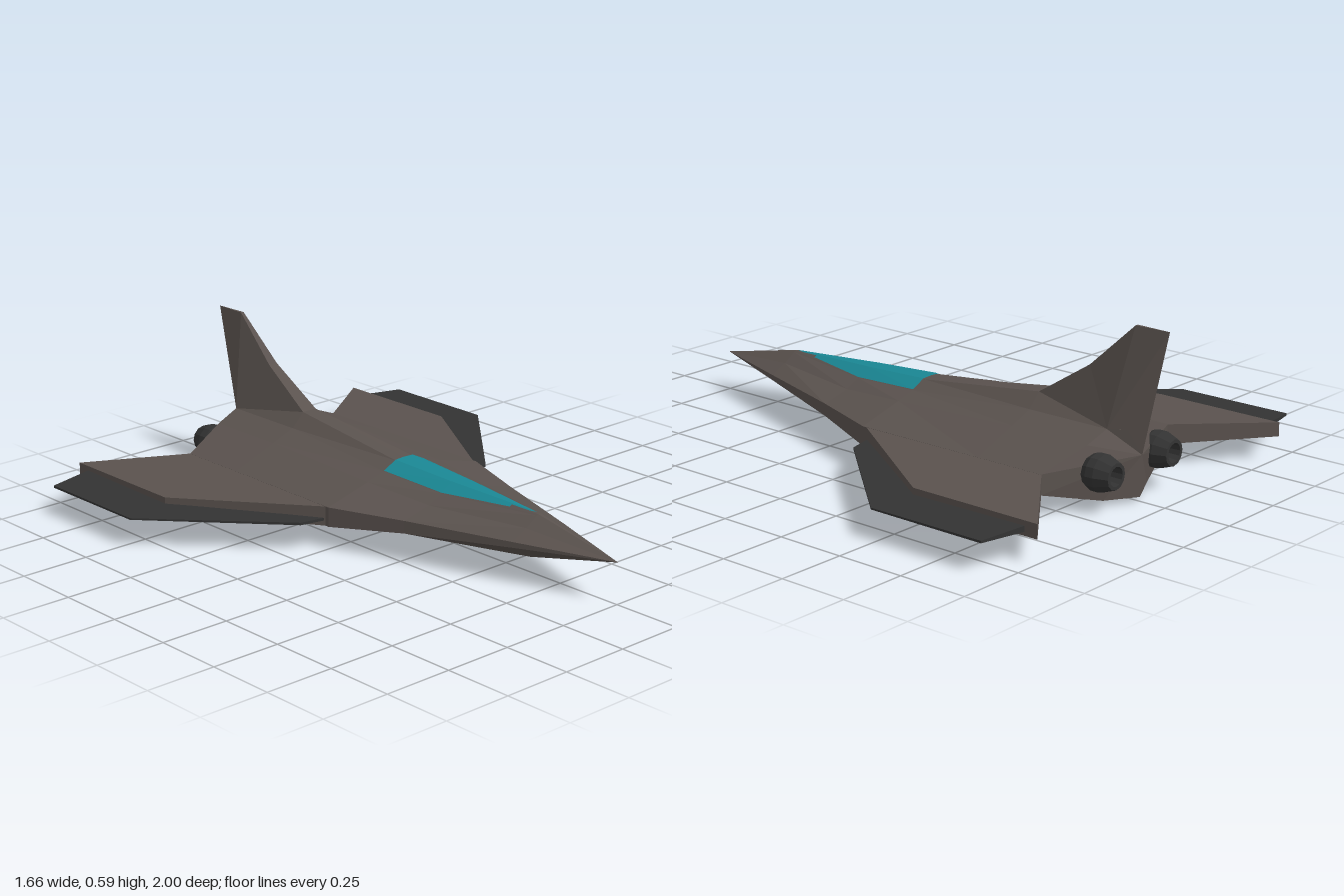
import * as THREE from 'three';

const paint = (color, extra = {}) => new THREE.MeshStandardMaterial({ color, flatShading: true, ...extra });
const hullMat = paint(0x5a524e);
const darkMat = paint(0x333333);
const glassMat = paint(0x1a8794);
const engineMat = paint(0x333333, { side: THREE.DoubleSide });

// Builds a faceted mesh from triangles on the +x half and their mirror images
function mirroredMesh(name, tris, material) {
  const pos = [];
  const flip = ([x, y, z]) => [-x, y, z];
  for (const [a, b, c] of tris) {
    const t = new THREE.Triangle(...[a, b, c].map(p => new THREE.Vector3(...p)));
    if (t.getArea() < 1e-8) continue;
    pos.push(...a, ...b, ...c, ...flip(a), ...flip(c), ...flip(b));
  }
  const g = new THREE.BufferGeometry();
  g.setAttribute('position', new THREE.Float32BufferAttribute(pos, 3));
  g.computeVertexNormals();
  const mesh = new THREE.Mesh(g, material);
  mesh.name = name;
  return mesh;
}

// Triangles joining neighbouring cross-sections
function loft(sections, closed = false) {
  const tris = [];
  const n = sections[0].length;
  for (let i = 0; i + 1 < sections.length; i++) {
    for (let j = 0; j < (closed ? n : n - 1); j++) {
      const k = (j + 1) % n;
      const a = sections[i][j], b = sections[i][k], c = sections[i + 1][k], d = sections[i + 1][j];
      tris.push([a, b, c], [a, c, d]);
    }
  }
  return tris;
}
const fan = (centre, ring) => ring.slice(1).map((p, i) => [centre, ring[i], p]);

// Cross-section of a panel at x: rear and front z, y limits at each
const panelRing = ([x, zr, zf, rearTop, frontTop, frontLow, rearLow]) =>
  [[x, rearTop, zr], [x, frontTop, zf], [x, frontLow, zf], [x, rearLow, zr]];

function panel(name, stations, material) {
  const rings = stations.map(panelRing);
  const tip = rings[rings.length - 1];
  return mirroredMesh(name, [...loft(rings, true), ...fan(tip[0], tip.slice(1))], material);
}

export function createModel() {
  const model = new THREE.Group();

  // Hull half sections, top centre to keel: [z, [x, y]...]
  const at = (z, pts) => pts.map(([x, y]) => [x, y, z]);
  const nose = Array(8).fill([0, 0.145, 1]);
  const rear = [
    [0, 0.25, -0.925], [0.04, 0.25, -0.873], [0.08, 0.25, -0.82], [0.17, 0.215, -0.81],
    [0.345, 0.15, -0.76], [0.345, 0.08, -0.76], [0.12, 0.02, -0.84], [0, 0.015, -0.9],
  ];
  const sections = [
    nose,
    at(0.65, [[0, 0.217], [0.006, 0.216], [0.012, 0.212], [0.06, 0.18], [0.122, 0.148], [0.122, 0.128], [0.04, 0.075], [0, 0.07]]),
    at(0.27, [[0, 0.235], [0.03, 0.233], [0.08, 0.205], [0.14, 0.178], [0.25, 0.15], [0.25, 0.105], [0.09, 0.04], [0, 0.032]]),
    at(0, [[0, 0.247], [0.04, 0.245], [0.095, 0.218], [0.17, 0.197], [0.35, 0.15], [0.35, 0.08], [0.11, 0.025], [0, 0.018]]),
    at(-0.5, [[0, 0.3], [0.03, 0.3], [0.08, 0.25], [0.17, 0.215], [0.345, 0.15], [0.345, 0.08], [0.12, 0.012], [0, 0]]),
    rear,
  ];
  model.add(mirroredMesh('hull', [...loft(sections), ...fan([0, 0.16, -0.905], rear)], hullMat));

  // Canopy lies just proud of the hull top
  const lift = pts => pts.slice(0, 3).map(([x, y, z]) => [x, y + 0.003, z]);
  const canopyTip = Array(3).fill([0, 0.219, 0.64]);
  model.add(mirroredMesh('canopy', loft([canopyTip, lift(sections[2]), lift(sections[3])]), glassMat));

  // Main wings
  model.add(panel('wings', [
    [0.34, -0.76, 0, 0.15, 0.15, 0.08, 0.08],
    [0.66, -1, -0.5, 0.13, 0.13, 0.08, 0.08],
  ], hullMat));

  // Thin dark outer wing panels
  model.add(panel('outerWingPanels', [
    [0.35, -0.75, -0.02, 0.124, 0.108, 0.098, 0.09],
    [0.44, -0.8, -0.04, 0.12, 0.107, 0.098, 0.09],
    [0.66, -0.95, -0.285, 0.113, 0.105, 0.098, 0.093],
    [0.83, -0.92, -0.475, 0.105, 0.104, 0.098, 0.097],
  ], darkMat));

  // Tail fin with a broad base and a ridged trailing face
  const baseFront = [0.08, 0.25, -0.5], baseRear = [0.08, 0.25, -0.82];
  const ridge = [[0.03, 0.3, -0.5], [0.018, 0.43, -0.7], [0.006, 0.59, -0.87], [0, 0.59, -1]];
  const spine = ridge.map(([, y, z]) => [0, y, z]);
  const tip = ridge[3];
  model.add(mirroredMesh('tailFin', [
    [baseFront, baseRear, ridge[0]],
    ...ridge.slice(1).map((p, i) => [ridge[i], baseRear, p]),
    [tip, baseRear, [0, 0.25, -0.925]],
    ...loft(spine.map((p, i) => [p, ridge[i]])),
    [[0, 0.25, -0.5], baseFront, ridge[0]], [[0, 0.25, -0.5], ridge[0], spine[0]],
  ], hullMat));

  // Engine nozzles
  const profile = [[0.04, 0.74], [0.045, 0.8], [0.064, 0.84], [0.064, 0.87], [0.046, 0.92], [0.034, 0.92], [0.03, 0.87], [0, 0.87]]
    .map(([r, d]) => new THREE.Vector2(r, d));
  for (const side of [-1, 1]) {
    const engine = new THREE.Mesh(new THREE.LatheGeometry(profile, 12).rotateX(-Math.PI / 2), engineMat);
    engine.name = side > 0 ? 'leftEngine' : 'rightEngine';
    engine.position.set(side * 0.158, 0.13, 0);
    model.add(engine);
  }
  return model;
}
